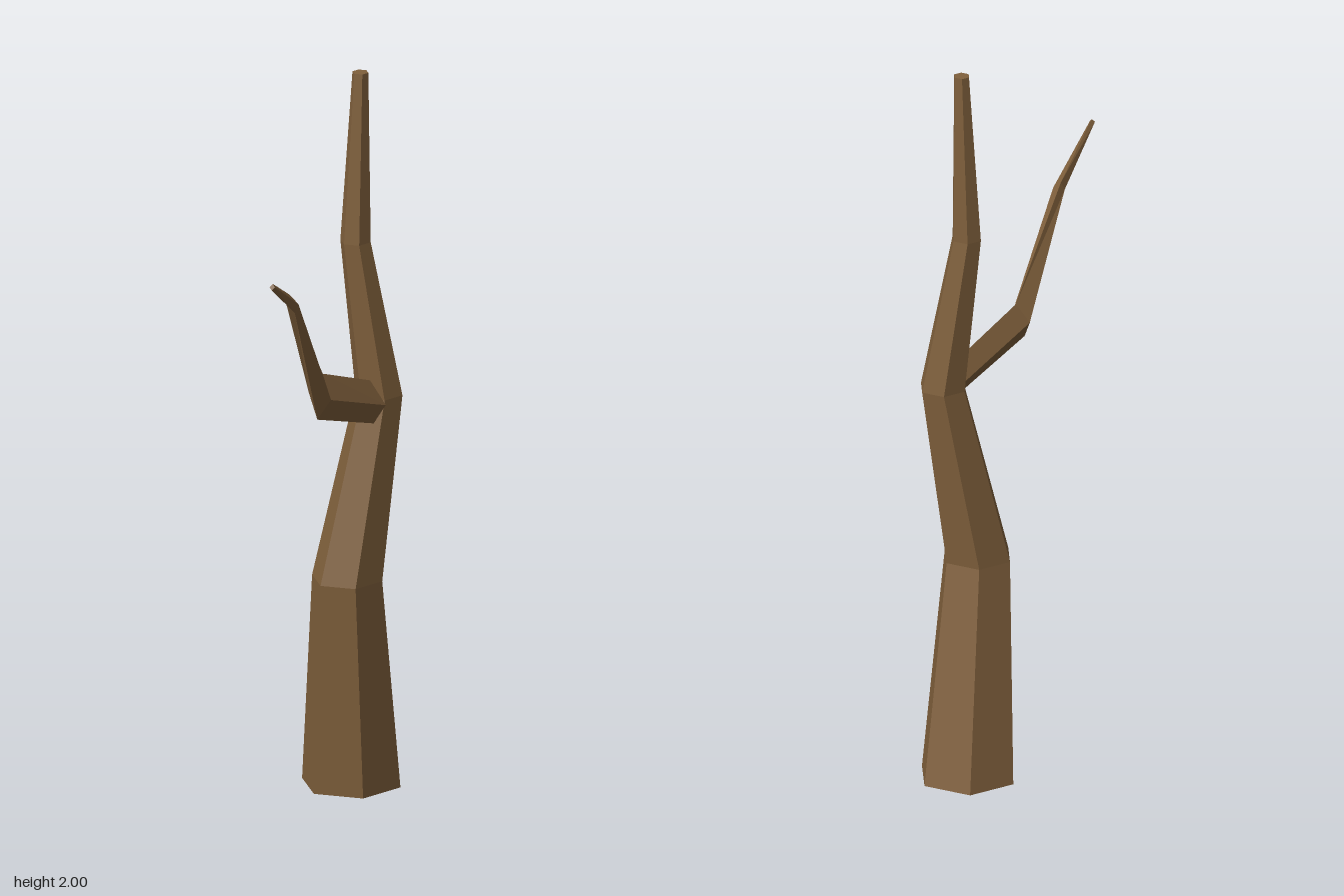
import * as THREE from 'three';

// Skin a list of rings (bottom to top), open at the start and capped at the end
function loft(rings) {
  const n = rings[0].length;
  const pos = [];
  const tri = (...pts) => pts.forEach((p) => pos.push(p.x, p.y, p.z));
  for (let k = 0; k < rings.length - 1; k++) {
    const lo = rings[k], up = rings[k + 1];
    for (let i = 0; i < n; i++) {
      const j = (i + 1) % n;
      tri(lo[i], up[i], lo[j]);
      tri(lo[j], up[i], up[j]);
    }
  }
  const end = rings[rings.length - 1];
  for (let i = 1; i < n - 1; i++) tri(end[0], end[i + 1], end[i]);
  const geo = new THREE.BufferGeometry();
  geo.setAttribute('position', new THREE.Float32BufferAttribute(pos, 3));
  geo.computeVertexNormals();
  return geo;
}

// Horizontal six-sided ring
function hexRing([x, y, z, r]) {
  return Array.from({ length: 6 }, (_, i) => {
    const a = (i * Math.PI) / 3;
    return new THREE.Vector3(x + r * Math.cos(a), y, z + r * Math.sin(a));
  });
}

// Four-sided ring from its centre and the offsets of its top and front corners
function diamondRing([c, t, f]) {
  const centre = new THREE.Vector3(...c);
  const top = new THREE.Vector3(...t), front = new THREE.Vector3(...f);
  return [
    centre.clone().add(top),
    centre.clone().add(front),
    centre.clone().sub(top),
    centre.clone().sub(front),
  ];
}

export function createModel() {
  const model = new THREE.Group();
  model.name = 'bareTree';

  const bark = new THREE.MeshStandardMaterial({ color: 0x80603c });
  bark.name = 'bark';
  bark.flatShading = true;
  bark.side = THREE.DoubleSide;

  // Crooked tapering trunk: x, y, z, radius
  const trunk = new THREE.Mesh(loft([
    [0.245, 0, -0.12, 0.136],
    [0.18, 0.6, -0.067, 0.097],
    [0.275, 1.1, -0.045, 0.065],
    [0.22, 1.53, -0.077, 0.042],
    [0.233, 2, -0.072, 0.022],
  ].map(hexRing)), bark);
  trunk.name = 'trunk';

  // Bent side branch: centre, top corner offset, front corner offset
  const branch = new THREE.Mesh(loft([
    [[0.235, 1.09, -0.018], [0.014, 0.053, -0.012], [0.008, -0.002, 0.033]],
    [[-0.033, 1.185, 0.054], [0.022, 0.056, -0.013], [0.008, -0.003, 0.034]],
    [[-0.2, 1.5, 0.124], [0.002, 0.022, -0.012], [0.01, 0, 0.013]],
    [[-0.375, 1.613, 0.232], [0.004, 0.008, -0.002], [0.005, 0, 0.005]],
  ].map(diamondRing)), bark);
  branch.name = 'branch';

  model.add(trunk, branch);
  return model;
}
